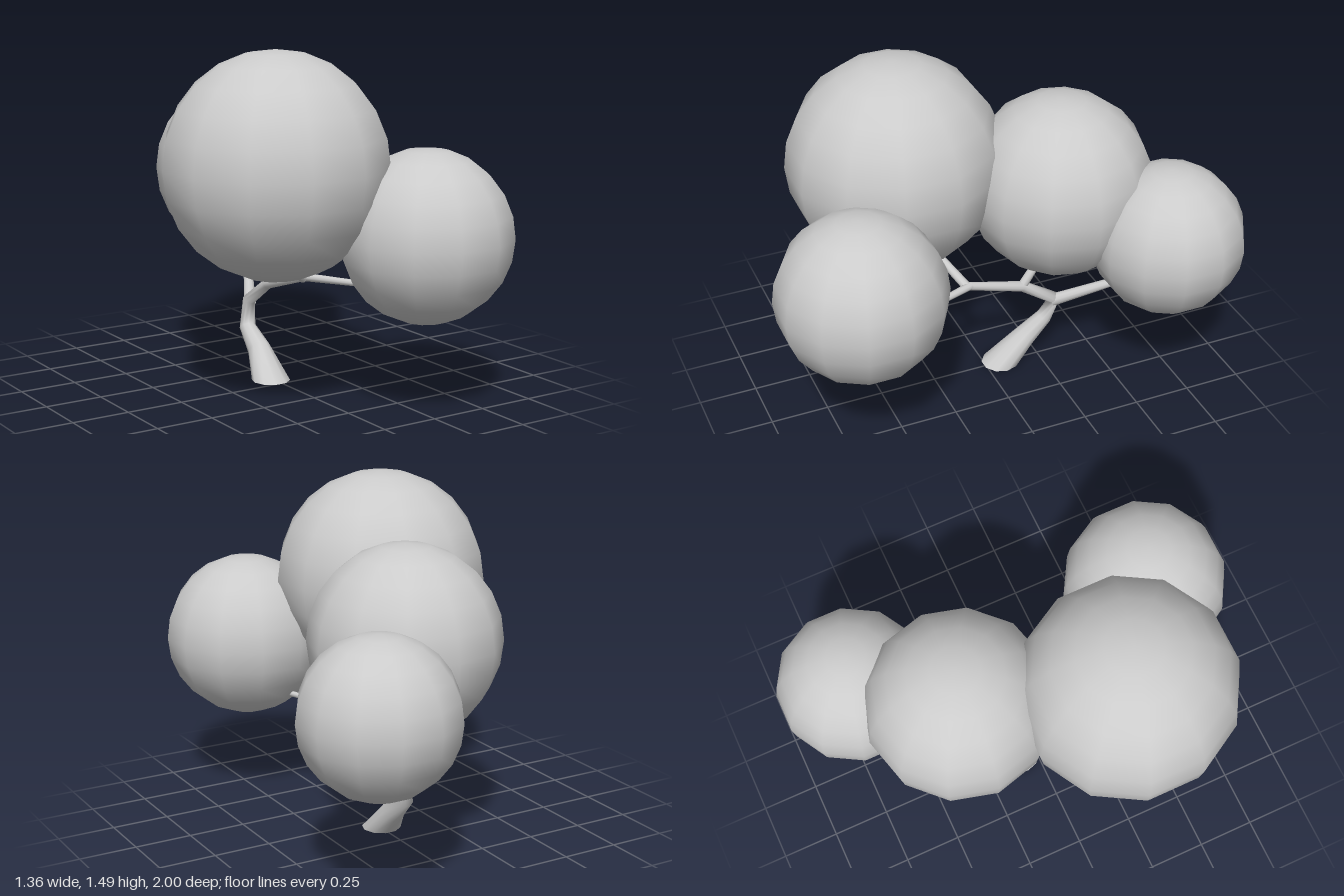
import * as THREE from 'three';

const material = new THREE.MeshStandardMaterial({ color: 0xcccccc });
const openMaterial = new THREE.MeshStandardMaterial({ color: 0xcccccc, side: THREE.DoubleSide });
const SIDES = 10;

// Tapered limb lofted through rings given as [x, y, z, radius]
function limb(name, rings, startNormal) {
  const points = rings.map(([x, y, z]) => new THREE.Vector3(x, y, z));
  const positions = [], indices = [];
  rings.forEach(([, , , radius], i) => {
    const before = points[Math.max(i - 1, 0)];
    const after = points[Math.min(i + 1, points.length - 1)];
    const normal = i === 0 && startNormal ? startNormal : after.clone().sub(before).normalize();
    // A shared reference axis keeps neighbouring rings from twisting
    const u = new THREE.Vector3(1, 0, 0).addScaledVector(normal, -normal.x).normalize();
    const v = new THREE.Vector3().crossVectors(normal, u);
    for (let j = 0; j < SIDES; j++) {
      const a = (j / SIDES) * Math.PI * 2;
      const p = points[i].clone()
        .addScaledVector(u, Math.cos(a) * radius)
        .addScaledVector(v, Math.sin(a) * radius);
      positions.push(p.x, p.y, p.z);
      if (i > 0) {
        const k = (j + 1) % SIDES, lower = (i - 1) * SIDES, upper = i * SIDES;
        indices.push(lower + j, lower + k, upper + k, lower + j, upper + k, upper + j);
      }
    }
  });
  const geometry = new THREE.BufferGeometry();
  geometry.setAttribute('position', new THREE.Float32BufferAttribute(positions, 3));
  geometry.setIndex(indices);
  geometry.computeVertexNormals();
  const mesh = new THREE.Mesh(geometry, openMaterial);
  mesh.name = name;
  return mesh;
}

// Smooth ball of leaves with twelve sides and twelve bands
function foliage(name, x, y, z, radius, turn) {
  const mesh = new THREE.Mesh(new THREE.SphereGeometry(radius, 12, 12), material);
  mesh.position.set(x, y, z);
  mesh.rotation.y = turn;
  mesh.name = name;
  return mesh;
}

export function createModel() {
  const tree = new THREE.Group();
  tree.name = 'tree';

  // Leaning trunk with a flared foot, running on into the main branch
  tree.add(limb('trunk', [
    [-0.01, 0, -0.073, 0.084],
    [0, 0.115, -0.19, 0.05],
    [0, 0.195, -0.283, 0.036],
    [0.03, 0.305, -0.317, 0.029],
    [0.03, 0.41, -0.16, 0.024],
    [0.04, 0.49, 0.11, 0.018],
  ], new THREE.Vector3(0, 1, 0)));

  // Side branches, each ending inside its foliage ball
  tree.add(limb('backBranch', [[0.03, 0.295, -0.31, 0.028], [0.15, 0.405, -0.52, 0.02], [0.27, 0.5, -0.7, 0.014]]));
  tree.add(limb('middleBranch', [[0.03, 0.405, -0.155, 0.022], [0.02, 0.52, -0.24, 0.018], [0.01, 0.62, -0.31, 0.014]]));
  tree.add(limb('largeBranch', [[0.04, 0.485, 0.105, 0.021], [-0.13, 0.59, 0.19, 0.018], [-0.2, 0.68, 0.25, 0.014]]));
  tree.add(limb('frontBranch', [[0.04, 0.488, 0.09, 0.018], [0.17, 0.5, 0.42, 0.012], [0.2, 0.5, 0.5, 0.011]]));

  // Foliage balls
  const turn = Math.PI / 12;
  tree.add(foliage('largeFoliage', -0.235, 1.02, 0.316, 0.465, turn));
  tree.add(foliage('middleFoliage', 0.03, 0.908, -0.325, 0.402, 0));
  tree.add(foliage('frontFoliage', 0.264, 0.737, 0.654, 0.358, turn));
  tree.add(foliage('backFoliage', 0.361, 0.735, -0.68, 0.33, turn));
  return tree;
}
